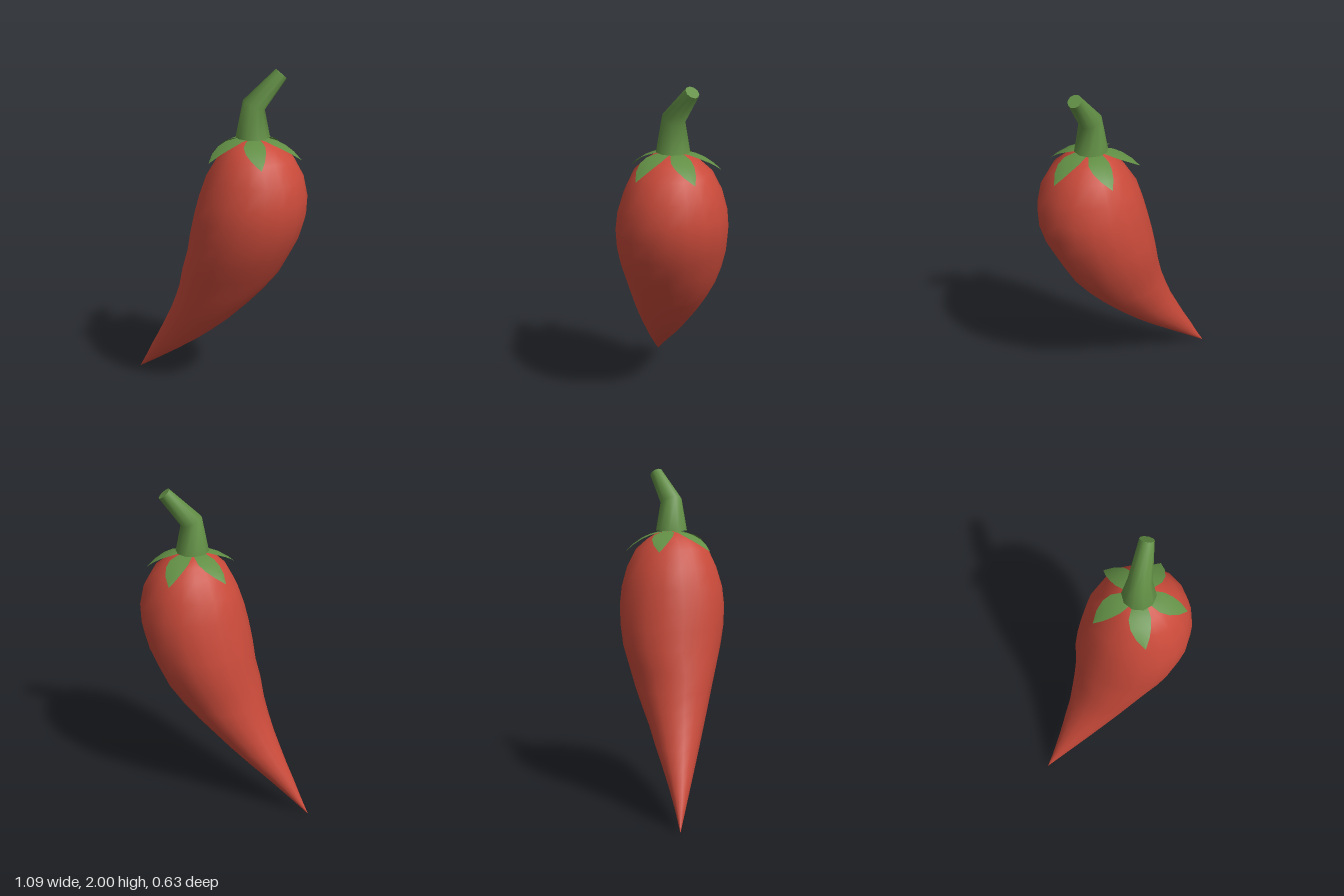
import * as THREE from 'three';

// Skin a stack of equal-length closed rings (bottom to top), with optional sharp end caps
function loft(rings, capped = false) {
  const n = rings[0].length, pos = [], index = [];
  rings.forEach(ring => ring.forEach(p => pos.push(p.x, p.y, p.z)));
  for (let r = 0; r < rings.length - 1; r++) {
    for (let i = 0; i < n; i++) {
      const a = r * n + i, b = r * n + (i + 1) % n;
      index.push(a, a + n, b, b, a + n, b + n);
    }
  }
  if (capped) {
    [rings[0], rings[rings.length - 1]].forEach((ring, top) => {
      const start = pos.length / 3, centre = new THREE.Vector3();
      ring.forEach(p => { pos.push(p.x, p.y, p.z); centre.addScaledVector(p, 1 / n); });
      pos.push(centre.x, centre.y, centre.z);
      for (let i = 0; i < n; i++) {
        const a = start + i, b = start + (i + 1) % n;
        index.push(start + n, top ? b : a, top ? a : b);
      }
    });
  }
  const geo = new THREE.BufferGeometry();
  geo.setAttribute('position', new THREE.Float32BufferAttribute(pos, 3));
  geo.setIndex(index);
  geo.computeVertexNormals();
  return geo;
}

// Body: level slices given as [y, min x, max x, min z, max z]
function bodyGeometry() {
  const slices = [
    [0, -0.545, -0.545, 0.165, 0.165],
    [0.1, -0.49, -0.40, 0.12, 0.18],
    [0.2, -0.44, -0.26, 0.07, 0.195],
    [0.3, -0.385, -0.125, 0.015, 0.21],
    [0.4, -0.335, -0.005, -0.04, 0.225],
    [0.5, -0.285, 0.105, -0.09, 0.24],
    [0.6, -0.245, 0.2, -0.145, 0.255],
    [0.7, -0.21, 0.285, -0.195, 0.27],
    [0.82, -0.18, 0.375, -0.245, 0.29],
    [0.94, -0.155, 0.445, -0.285, 0.307],
    [1.06, -0.13, 0.505, -0.31, 0.32],
    [1.18, -0.1, 0.54, -0.32, 0.32],
    [1.29, -0.07, 0.545, -0.312, 0.305],
    [1.41, -0.03, 0.52, -0.28, 0.267],
    [1.52, 0.04, 0.455, -0.225, 0.215],
    [1.58, 0.095, 0.38, -0.155, 0.15],
    [1.615, 0.14, 0.325, -0.1, 0.095],
    [1.632, 0.23, 0.23, -0.005, -0.005],
  ];
  const sides = 18;
  return loft(slices.map(([y, x0, x1, z0, z1]) => {
    const skew = y < 0.9 ? -0.1 : 0; // slant of the leaning lower half
    return Array.from({ length: sides }, (_, i) => {
      const t = i / sides * Math.PI * 2;
      return new THREE.Vector3(
        (x0 + x1) / 2 + (x1 - x0) / 2 * Math.cos(t), y,
        (z0 + z1) / 2 + (z1 - z0) / 2 * Math.sin(t + skew));
    });
  }));
}

// Stem: tapered rings, tilted to follow the bend
function stemGeometry() {
  const up = new THREE.Vector3(0, 1, 0);
  const rings = [
    { c: [0.228, 1.63, -0.005], r: 0.096, d: [0, 1, 0] },
    { c: [0.23, 1.81, -0.008], r: 0.066, d: [0.3, 1, -0.3] },
    { c: [0.332, 1.978, -0.116], r: 0.04, d: [0.6, 1, -0.6] },
  ];
  return loft(rings.map(({ c, r, d }) => {
    const q = new THREE.Quaternion().setFromUnitVectors(up, new THREE.Vector3(...d).normalize());
    return Array.from({ length: 10 }, (_, i) => {
      const t = i / 10 * Math.PI * 2;
      return new THREE.Vector3(r * Math.cos(t), 0, r * Math.sin(t))
        .applyQuaternion(q).add(new THREE.Vector3(...c));
    });
  }), true);
}

// Sepal: pointed blade along +x, arched down and bowed slightly to one side
function sepalGeometry() {
  const rows = [ // distance out, height, half width, sideways bow
    [0.02, 1.628, 0.02, 0], [0.08, 1.624, 0.045, 0.008], [0.13, 1.61, 0.06, 0.014],
    [0.18, 1.587, 0.056, 0.015], [0.23, 1.552, 0.036, 0.01], [0.275, 1.508, 0, 0],
  ];
  const pos = [], index = [];
  rows.forEach(([x, y, w, bow], r) => {
    for (let s = -1; s <= 1; s++) pos.push(x, y - Math.abs(s) * w * 0.12, bow + s * w);
    if (r === 0) return;
    for (let k = 0; k < 2; k++) {
      const a = (r - 1) * 3 + k, b = r * 3 + k;
      index.push(a, a + 1, b, b, a + 1, b + 1);
    }
  });
  const geo = new THREE.BufferGeometry();
  geo.setAttribute('position', new THREE.Float32BufferAttribute(pos, 3));
  geo.setIndex(index);
  geo.computeVertexNormals();
  return geo;
}

export function createModel() {
  const red = new THREE.MeshStandardMaterial({ color: 0xc94a3a });
  red.name = 'pepper red';
  const green = new THREE.MeshStandardMaterial({ color: 0x628f45, side: THREE.DoubleSide });
  green.name = 'stem green';

  const model = new THREE.Group();
  model.name = 'chilliPepper';
  const add = (name, geo, mat, parent = model) => {
    const mesh = new THREE.Mesh(geo, mat);
    mesh.name = name;
    parent.add(mesh);
    return mesh;
  };

  add('body', bodyGeometry(), red);
  add('stem', stemGeometry(), green);

  // Five sepals around the stem base
  const calyx = new THREE.Group();
  calyx.name = 'calyx';
  calyx.position.set(0.228, 0, -0.006);
  model.add(calyx);
  const sepal = sepalGeometry();
  for (let i = 0; i < 5; i++) {
    add('sepal', sepal, green, calyx).rotation.y = -THREE.MathUtils.degToRad(42 + 72 * i);
  }
  return model;
}
